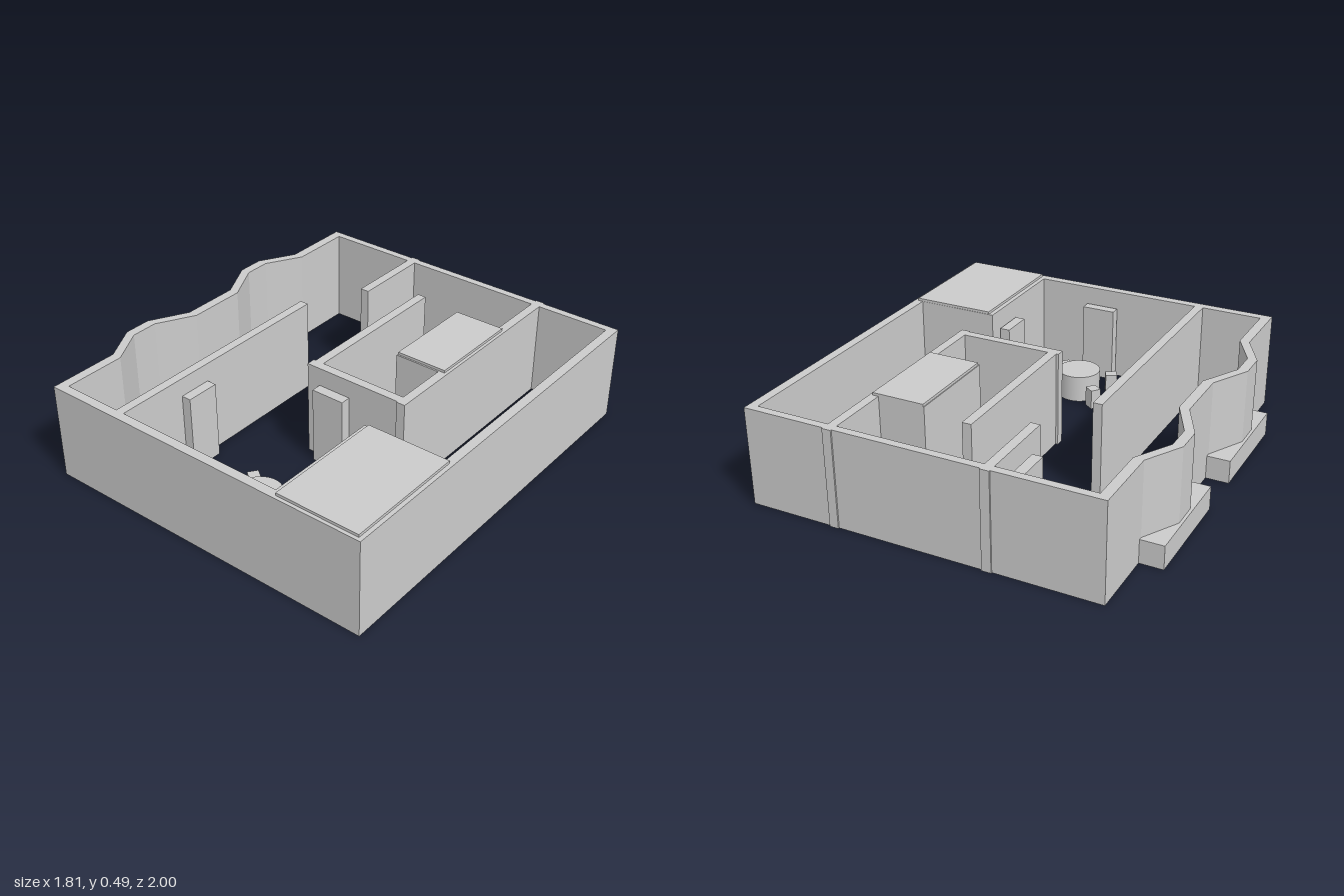
import * as THREE from 'three';

const H = 0.475; // wall height
const mat = new THREE.MeshStandardMaterial({ color: 0xcccccc, flatShading: true });

export function createModel() {
  const group = new THREE.Group();

  const add = (name, geometry) => {
    const mesh = new THREE.Mesh(geometry, mat);
    mesh.name = name;
    group.add(mesh);
    return mesh;
  };

  // Box given by its extents on the plan and in height
  const block = (name, x0, x1, z0, z1, y1 = H, y0 = 0) =>
    add(name, new THREE.BoxGeometry(x1 - x0, y1 - y0, z1 - z0))
      .position.set((x0 + x1) / 2, (y0 + y1) / 2, (z0 + z1) / 2);

  // Outer walls: a rectangular ring with two angled bays on the right side
  const outline = (left, right, back, front, bay) => [
    [right, back], [right, front], [left, front],
    [left, 0.645], [bay, 0.465], [bay, 0.33], [left, 0.145],
    [left, -0.145], [bay, -0.34], [bay, -0.47], [left, -0.645],
    [left, back],
  ].map(([x, z]) => new THREE.Vector2(x, z));
  const plan = new THREE.Shape(outline(-0.795, 0.905, -0.993, 0.997, -0.893));
  plan.holes.push(new THREE.Path(outline(-0.747, 0.86, -0.955, 0.952, -0.846)));
  const walls = new THREE.ExtrudeGeometry(plan, { depth: H, bevelEnabled: false });
  walls.rotateX(Math.PI / 2).translate(0, H, 0);
  add('outerWalls', walls);

  // Low window seats under the bays
  block('baySill', -0.907, -0.757, -0.66, -0.125, 0.115);
  block('baySill', -0.907, -0.757, 0.125, 0.665, 0.115);

  // Inner partitions
  [
    [-0.293, -0.248, -1, -0.56],
    [-0.037, 0.008, -0.69, 0.15],
    [-0.048, 0.495, 0.108, 0.152],
    [0.453, 0.497, -1, 0.158],
    [-0.446, -0.402, -0.275, 0.997],
    [0.453, 0.497, 0.383, 0.98],
    [0.453, 0.885, 0.383, 0.427],
  ].forEach((p) => block('partition', ...p));

  // Closet walls
  block('closetWall', 0.222, 0.262, -0.642, -0.157);
  block('closetWall', 0.222, 0.48, -0.642, -0.602);
  block('closetWall', 0.222, 0.48, -0.197, -0.157);

  // Flat roofs over the closet and the corner room
  block('closetRoof', 0.226, 0.482, -0.643, -0.165, 0.488, 0.473);
  block('cornerRoof', 0.476, 0.885, 0.385, 0.98, 0.488, 0.473);

  // Upright cabinets along the walls
  [
    [-0.354, -0.304, -0.825, -0.655],
    [-0.402, -0.354, 0.44, 0.605],
    [0.39, 0.44, 0.44, 0.605],
    [0.02, 0.19, 0.893, 0.943],
    [0.02, 0.19, 0.15, 0.202],
  ].forEach((p) => block('cabinet', ...p, 0.385));

  // Round table with four stools
  const table = add('table', new THREE.CylinderGeometry(0.107, 0.107, 0.135, 48));
  table.material = new THREE.MeshStandardMaterial({ color: 0xcccccc });
  table.position.set(0.106, 0.0675, 0.672);
  [
    [-0.024, 0.563, -0.62], [0.24, 0.578, 0.5],
    [-0.034, 0.763, 0.5], [0.23, 0.78, -0.65],
  ].forEach(([x, z, turn]) => {
    const stool = add('stool', new THREE.BoxGeometry(0.058, 0.1, 0.053));
    stool.position.set(x, 0.05, z);
    stool.rotation.y = turn;
  });

  return group;
}
